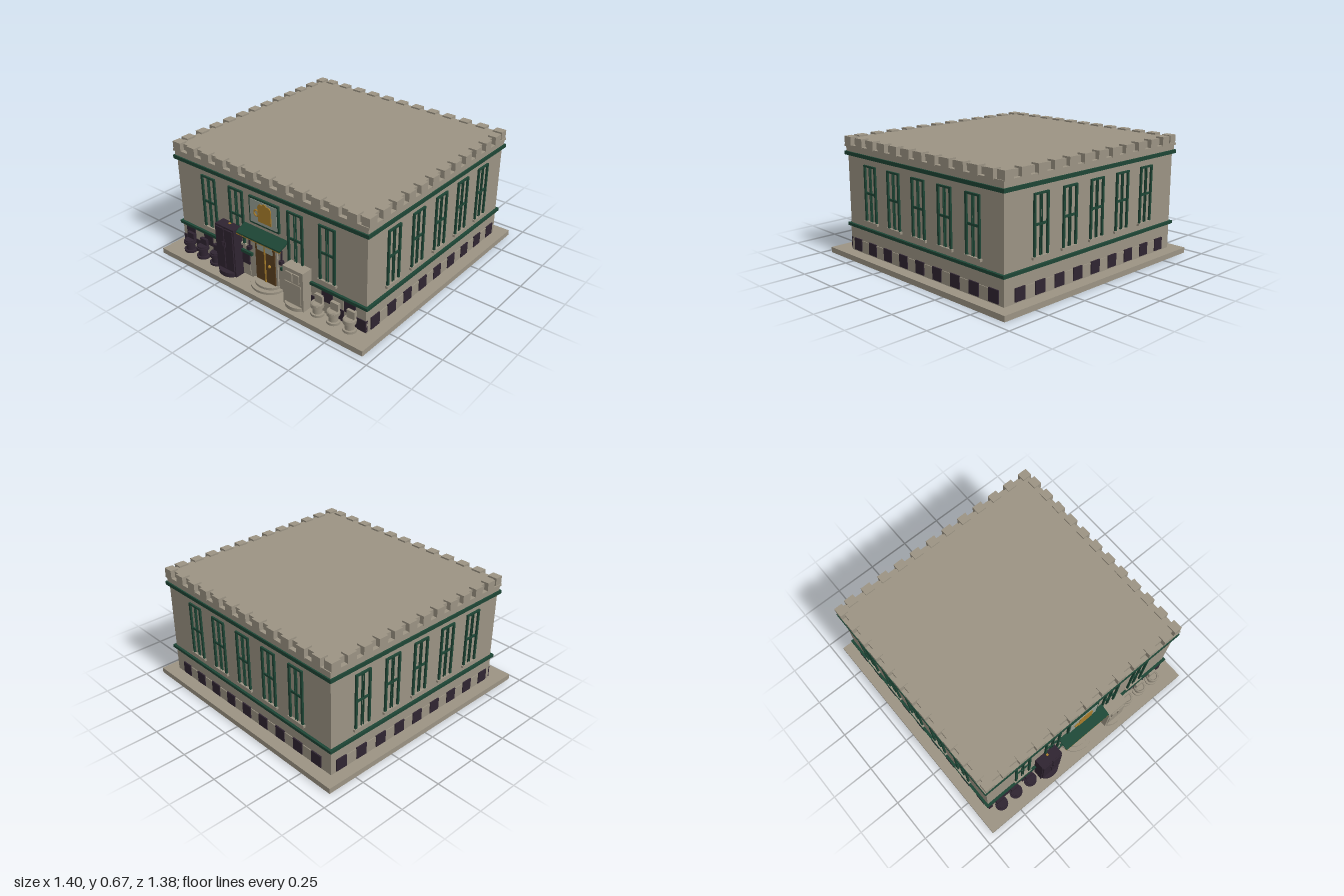
import * as THREE from 'three';

const mat = (name, color) => {
  const m = new THREE.MeshStandardMaterial({ color });
  m.name = name;
  return m;
};

export function createModel() {
  const stone = mat('stone', 0x9b9383);
  const green = mat('darkGreen', 0x1d4535);
  const dark = mat('darkPlum', 0x2f2431);
  const gold = mat('gold', 0xa87d2b);
  const brown = mat('brown', 0x5a3f1f);
  const glass = mat('paleGlass', 0x959c91);

  const model = new THREE.Group();
  model.name = 'building';

  const group = (parent, name, x = 0, y = 0, z = 0) => {
    const g = new THREE.Group();
    g.name = name;
    g.position.set(x, y, z);
    parent.add(g);
    return g;
  };
  const add = (parent, name, geometry, material) => {
    const m = new THREE.Mesh(geometry, material);
    m.name = name;
    parent.add(m);
    return m;
  };
  // box given by its limits on each axis
  const box = (parent, name, material, x0, x1, y0, y1, z0, z1) => {
    const m = add(parent, name, new THREE.BoxGeometry(x1 - x0, y1 - y0, z1 - z0), material);
    m.position.set((x0 + x1) / 2, (y0 + y1) / 2, (z0 + z1) / 2);
    return m;
  };
  // upright disc, stretched along z
  const disc = (parent, name, material, x, z, rx, rz, y0, y1) => {
    const m = add(parent, name, new THREE.CylinderGeometry(rx, rx, y1 - y0, 20), material);
    m.scale.z = rz / rx;
    m.position.set(x, (y0 + y1) / 2, z);
    return m;
  };

  // main masses
  box(model, 'pavement', stone, -0.7, 0.7, 0, 0.03, -0.67, 0.715);
  box(model, 'walls', stone, -0.635, 0.635, 0.03, 0.59, -0.6, 0.6);
  box(model, 'cornice', stone, -0.642, 0.642, 0.585, 0.615, -0.607, 0.607);
  box(model, 'parapetBand', stone, -0.648, 0.648, 0.61, 0.622, -0.613, 0.613);
  box(model, 'roof', stone, -0.625, 0.625, 0.62, 0.657, -0.59, 0.59);
  box(model, 'upperGreenBand', green, -0.65, 0.65, 0.565, 0.585, -0.615, 0.615);

  // tall window with frame, central bars and sill
  const windowAt = (wall, x) => {
    const w = group(wall, 'window', x);
    for (const s of [-1, 1]) {
      box(w, 'frameSide', green, s * 0.044 - 0.006, s * 0.044 + 0.006, 0.225, 0.53, -0.01, 0.01);
      box(w, 'sash', green, s * 0.006 - 0.002, s * 0.006 + 0.002, 0.225, 0.53, -0.01, 0.007);
    }
    box(w, 'frameTop', green, -0.05, 0.05, 0.52, 0.53, -0.01, 0.01);
    box(w, 'crossBar', green, -0.036, 0.036, 0.373, 0.385, -0.01, 0.007);
    box(w, 'sill', stone, -0.058, 0.058, 0.214, 0.227, -0.01, 0.013);
  };

  // one wall face: local z = 0 is the wall surface
  const wallFace = (name, angle, half, distance, windows) => {
    const wall = group(model, name);
    wall.rotation.y = angle;
    const face = group(wall, name + 'Details', 0, 0, distance);
    windows.forEach((x) => windowAt(face, x));

    // battlements
    const count = 11;
    const step = (2 * half - 0.1) / count;
    for (let i = 0; i <= count; i++) {
      const x = -half + 0.02 + i * step;
      const x0 = Math.max(x - 0.028, -half - 0.015);
      box(face, 'battlement', stone, x0, x + 0.028, 0.615, 0.666, -0.033, 0.014);
    }
    return face;
  };

  const evenWindows = [-0.4, -0.2, 0, 0.2, 0.4];
  const front = wallFace('front', 0, 0.635, 0.6, [-0.4, -0.2, 0.2, 0.4]);
  const plainWalls = [
    [wallFace('back', Math.PI, 0.635, 0.6, evenWindows), 0.635],
    [wallFace('leftSide', Math.PI / 2, 0.6, 0.635, evenWindows), 0.6],
    [wallFace('rightSide', -Math.PI / 2, 0.6, 0.635, evenWindows), 0.6],
  ];

  // base tiles and lower band on the three plain walls
  for (const [face, half] of plainWalls) {
    box(face, 'lowerGreenBand', green, -half - 0.013, half + 0.013, 0.17, 0.186, -0.01, 0.014);
    for (let i = -4; i <= 4; i++) {
      const x = i * 0.134;
      box(face, 'darkTile', dark, x - 0.033, x + 0.033, 0.038, 0.105, -0.01, 0.007);
      if (i < 4) box(face, 'stoneTile', stone, x + 0.035, x + 0.099, 0.038, 0.1, -0.01, 0.004);
    }
  }

  // two staggered rows of tiles across the front
  for (let row = 0; row < 2; row++) {
    const y = 0.038 + row * 0.066;
    for (let i = 0; i < 19; i++) {
      const x = -0.644 + i * 0.0695;
      const isDark = i % 2 === row;
      const x0 = Math.max(x - 0.033, -0.635), x1 = Math.min(x + 0.033, 0.635);
      if (x1 <= x0 || (x1 > -0.09 && x0 < 0.09)) continue;
      box(front, isDark ? 'darkTile' : 'stoneTile', isDark ? dark : stone,
        x0, x1, y, y + 0.065, -0.01, isDark ? 0.007 : 0.004);
    }
  }
  for (const s of [-1, 1]) {
    box(front, 'lowerGreenBand', green, s < 0 ? -0.648 : 0.1, s < 0 ? -0.1 : 0.648, 0.17, 0.186, -0.01, 0.014);
  }

  // entrance: double door, window light and step
  const door = group(front, 'door');
  box(door, 'doorSurround', stone, -0.083, 0.077, 0.03, 0.315, -0.01, 0.008);
  box(door, 'doorPanel', brown, -0.07, 0.064, 0.055, 0.303, -0.01, 0.014);
  box(door, 'doorLight', glass, -0.055, 0.05, 0.235, 0.288, 0.01, 0.017);
  box(door, 'doorTrim', gold, -0.006, 0.001, 0.055, 0.303, 0.01, 0.019);
  const knob = add(door, 'doorKnob', new THREE.SphereGeometry(0.009, 12, 8), gold);
  knob.position.set(0.03, 0.163, 0.018);
  disc(door, 'lowerStep', stone, 0, 0, 0.1, 0.085, 0.03, 0.043);
  disc(door, 'upperStep', stone, 0, 0, 0.08, 0.06, 0.043, 0.056);

  // sloping awning with gold hem
  const awningShape = new THREE.Shape([
    new THREE.Vector2(0, 0.342), new THREE.Vector2(0.066, 0.318),
    new THREE.Vector2(0.066, 0.326), new THREE.Vector2(0, 0.354),
  ]);
  const awning = add(front, 'awning',
    new THREE.ExtrudeGeometry(awningShape, { depth: 0.3, bevelEnabled: false }), green);
  awning.rotation.y = -Math.PI / 2;
  awning.position.x = 0.15;
  box(front, 'awningHem', gold, -0.15, 0.15, 0.313, 0.32, 0.058, 0.066);

  // hanging lamps
  for (const x of [-0.115, 0.107]) {
    const lamp = group(front, 'lamp', x);
    box(lamp, 'lampRod', dark, -0.003, 0.003, 0.225, 0.285, 0.004, 0.012);
    box(lamp, 'lampBody', dark, -0.01, 0.01, 0.207, 0.228, 0, 0.022);
  }

  // framed sign with a tankard emblem
  const sign = group(front, 'sign');
  box(sign, 'signFrame', green, -0.1, 0.1, 0.378, 0.53, -0.005, 0.012);
  box(sign, 'signPanel', glass, -0.09, 0.09, 0.389, 0.519, 0.008, 0.015);
  box(sign, 'tankard', gold, -0.033, 0.055, 0.408, 0.492, 0.012, 0.02);
  const handle = add(sign, 'tankardHandle', new THREE.TorusGeometry(0.016, 0.005, 6, 16), gold);
  handle.position.set(-0.044, 0.45, 0.016);
  [-0.014, 0.012, 0.036].forEach((x, i) => {
    const foam = add(sign, 'tankardFoam', new THREE.CylinderGeometry(0.017, 0.017, 0.008, 14), gold);
    foam.rotation.x = Math.PI / 2;
    foam.position.set(x, i === 1 ? 0.5 : 0.492, 0.016);
  });

  // tall dark cabinet
  const tall = group(front, 'darkCabinet', -0.243);
  box(tall, 'cabinetBody', dark, -0.067, 0.067, 0.03, 0.315, 0, 0.06);
  for (const s of [-1, 1]) {
    box(tall, 'cabinetDoor', dark, s * 0.032 - 0.029, s * 0.032 + 0.029, 0.062, 0.305, 0.055, 0.067);
    box(tall, 'cabinetHandle', dark, s * 0.009 - 0.003, s * 0.009 + 0.003, 0.2, 0.23, 0.065, 0.073);
  }
  disc(tall, 'cabinetStep', dark, 0, 0.05, 0.06, 0.04, 0.03, 0.055);
  box(tall, 'cabinetLatch', gold, -0.006, 0.006, 0.312, 0.319, 0.012, 0.024);

  // lower stone cabinet
  const low = group(front, 'stoneCabinet', 0.23);
  box(low, 'cabinetBody', stone, -0.066, 0.066, 0.03, 0.255, 0, 0.064);
  box(low, 'upperPanel', stone, -0.043, 0.043, 0.187, 0.235, 0.06, 0.07);
  box(low, 'panelBar', stone, -0.004, 0.004, 0.187, 0.235, 0.065, 0.075);
  box(low, 'lowerPanel', stone, -0.052, 0.052, 0.065, 0.175, 0.06, 0.068);
  disc(low, 'cabinetStep', stone, 0, 0.05, 0.062, 0.04, 0.03, 0.05);

  // rows of small seats with a round bowl, foot and back
  const seatAt = (x, material, open) => {
    const seat = group(front, open ? 'stoneSeat' : 'darkSeat', x, 0, 0.028);
    disc(seat, 'foot', material, 0, 0, 0.037, 0.034, 0.03, 0.043);
    disc(seat, 'stem', material, 0, 0, 0.024, 0.024, 0.043, 0.085);
    disc(seat, 'bowl', material, 0, 0, 0.034, 0.034, 0.078, 0.094);
    if (open) {
      const rim = add(seat, 'rim', new THREE.TorusGeometry(0.028, 0.006, 6, 20), material);
      rim.rotation.x = Math.PI / 2;
      rim.position.y = 0.095;
    } else {
      disc(seat, 'lid', material, 0, 0, 0.028, 0.028, 0.094, 0.102);
    }
    box(seat, 'back', material, -0.024, 0.024, 0.085, 0.137, -0.028, -0.006);
  };
  [-0.565, -0.463, -0.36].forEach((x) => seatAt(x, dark, false));
  [0.355, 0.456, 0.556].forEach((x) => seatAt(x, stone, true));

  return model;
}
